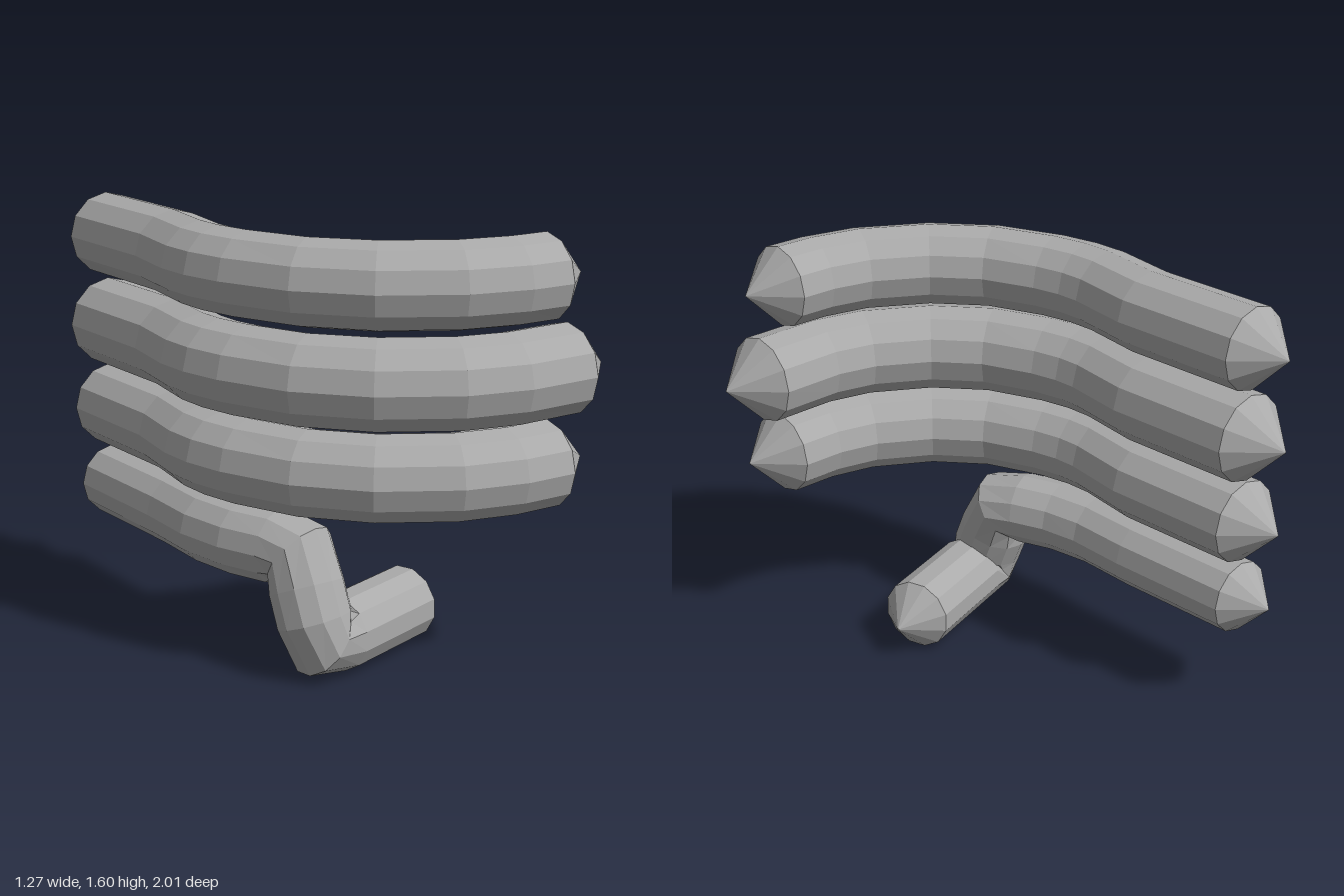
import * as THREE from 'three';

const SIDES = 12;
const grey = new THREE.MeshStandardMaterial({ color: 0xaaaaaa, flatShading: true });
grey.name = 'plain grey';

// Faceted rod swept along a list of points, with a cone as long as its radius on each end
function rod(name, points, radius) {
  const p = points.map((q) => new THREE.Vector3(...q));
  const last = p.length - 1;
  const dirs = p.slice(1).map((q, i) => q.clone().sub(p[i]).normalize());
  const normal = new THREE.Vector3(0, 1, 0);
  const rings = [];
  p.forEach((centre, i) => {
    const tangent = dirs[Math.max(i - 1, 0)].clone().add(dirs[Math.min(i, last - 1)]).normalize();
    normal.addScaledVector(tangent, -normal.dot(tangent)).normalize();
    const side = tangent.clone().cross(normal);
    const ring = [];
    for (let j = 0; j < SIDES; j++) {
      const a = (j / SIDES) * Math.PI * 2;
      ring.push(centre.clone()
        .addScaledVector(normal, Math.cos(a) * radius)
        .addScaledVector(side, Math.sin(a) * radius));
    }
    rings.push(ring);
  });

  // Cone tips
  const startTip = p[0].clone().addScaledVector(dirs[0], -radius);
  const endTip = p[last].clone().addScaledVector(dirs[last - 1], radius);

  const pos = [];
  const tri = (...corners) => corners.forEach((v) => pos.push(v.x, v.y, v.z));
  for (let j = 0; j < SIDES; j++) {
    const k = (j + 1) % SIDES;
    tri(startTip, rings[0][k], rings[0][j]);
    for (let i = 0; i < last; i++) {
      tri(rings[i][j], rings[i][k], rings[i + 1][k]);
      tri(rings[i][j], rings[i + 1][k], rings[i + 1][j]);
    }
    tri(rings[last][j], rings[last][k], endTip);
  }
  const geometry = new THREE.BufferGeometry();
  geometry.setAttribute('position', new THREE.Float32BufferAttribute(pos, 3));
  geometry.computeVertexNormals();
  const mesh = new THREE.Mesh(geometry, grey);
  mesh.name = name;
  return mesh;
}

export function createModel() {
  const group = new THREE.Group();
  group.name = 'curledRods';

  // Shared curve of the three long rods, as x and z
  const curve = [
    [-0.39, -0.84], [-0.41, -0.35], [-0.465, -0.1], [-0.47, 0.02], [-0.45, 0.16],
    [-0.37, 0.4], [-0.22, 0.6], [0, 0.755], [0.19, 0.815],
  ];
  // name, height, radius, x of the front end
  const fingers = [
    ['upperRod', 1.446, 0.158, 0.345],
    ['middleRod', 1.1, 0.168, 0.46],
    ['lowerRod', 0.765, 0.16, 0.375],
  ];
  for (const [name, y, radius, endX] of fingers) {
    const path = [...curve, [endX, 0.83]].map(([x, z]) => [x, y, z]);
    group.add(rod(name, path, radius));
  }

  // Bottom rod: runs forward, bends down, then turns to the left
  group.add(rod('bentRod', [
    [-0.39, 0.45, -0.84], [-0.41, 0.45, -0.35], [-0.435, 0.45, -0.1], [-0.42, 0.45, 0.08],
    [-0.375, 0.45, 0.23], [-0.35, 0.44, 0.325], [-0.355, 0.33, 0.375], [-0.355, 0.22, 0.42],
    [-0.34, 0.14, 0.44], [-0.25, 0.14, 0.425], [0.155, 0.14, 0.325],
  ], 0.14));

  return group;
}
